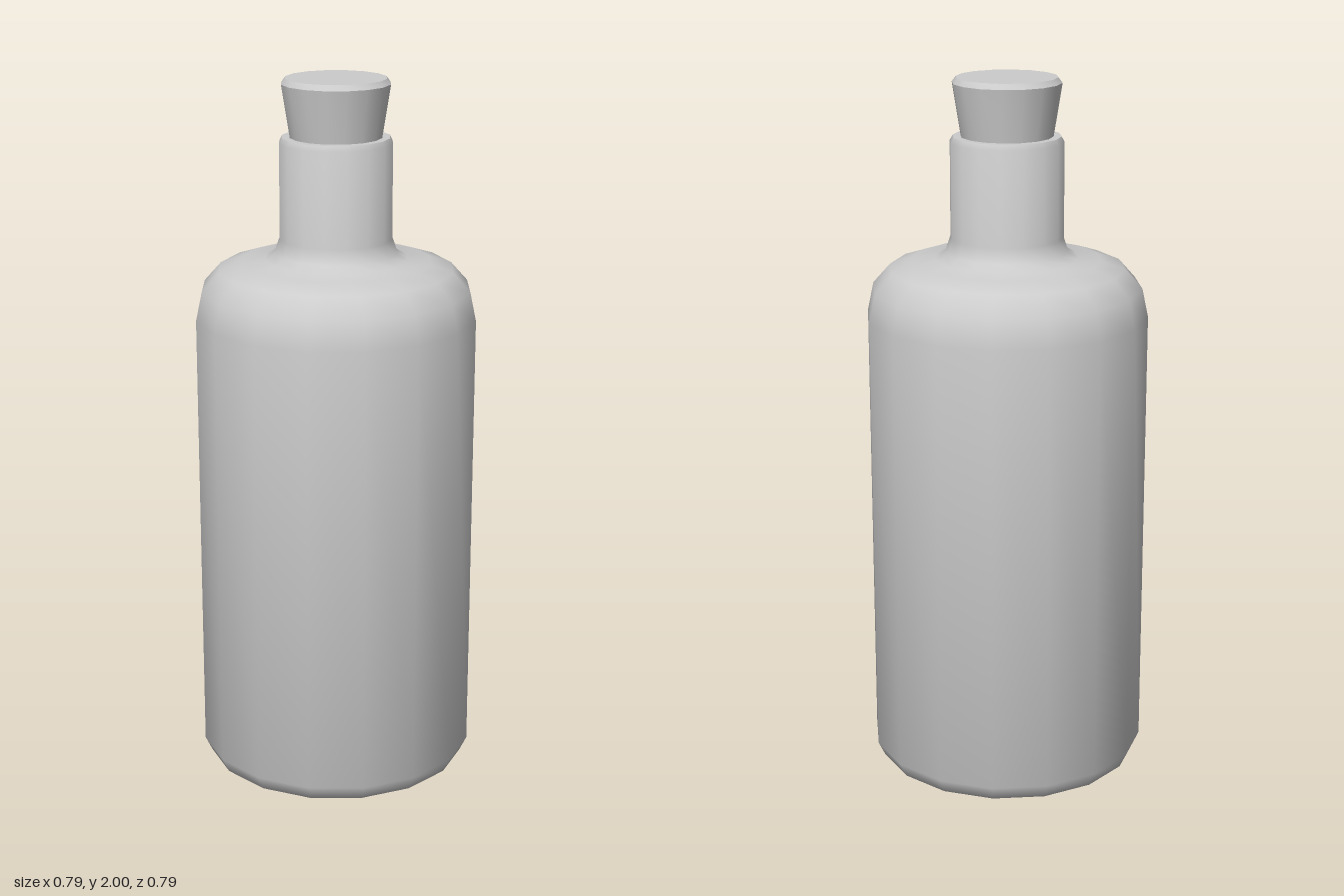
import * as THREE from 'three';
import { toCreasedNormals } from 'three/addons/utils/BufferGeometryUtils.js';

const SIDES = 16;

// Revolve a [radius, height] profile, keeping hard edges above the crease angle
function turned(name, profile, crease) {
  const points = profile.map(([r, y]) => new THREE.Vector2(r, y));
  const geometry = toCreasedNormals(new THREE.LatheGeometry(points, SIDES), crease);
  const mesh = new THREE.Mesh(geometry, new THREE.MeshStandardMaterial({ color: 0xcccccc }));
  mesh.name = name;
  return mesh;
}

export function createModel() {
  const group = new THREE.Group();
  group.name = 'corkedBottle';

  // Bottle: flat base, straight wall, rounded shoulder, flared neck root, lip and mouth
  group.add(turned('bottle', [
    [0, 0], [0.33, 0], [0.375, 0.018], [0.395, 0.06],
    [0.395, 1.34], [0.378, 1.42], [0.33, 1.474], [0.265, 1.496],
    [0.2, 1.503], [0.172, 1.52], [0.158, 1.56],
    [0.158, 1.825], [0.15, 1.84], [0.128, 1.84], [0.12, 1.825], [0.12, 1.76],
  ], 0.8));

  // Tapered cork with a small bevel round its top
  group.add(turned('cork', [
    [0, 1.76], [0.115, 1.76], [0.151, 1.985], [0.14, 2], [0, 2],
  ], 0.6));

  return group;
}
